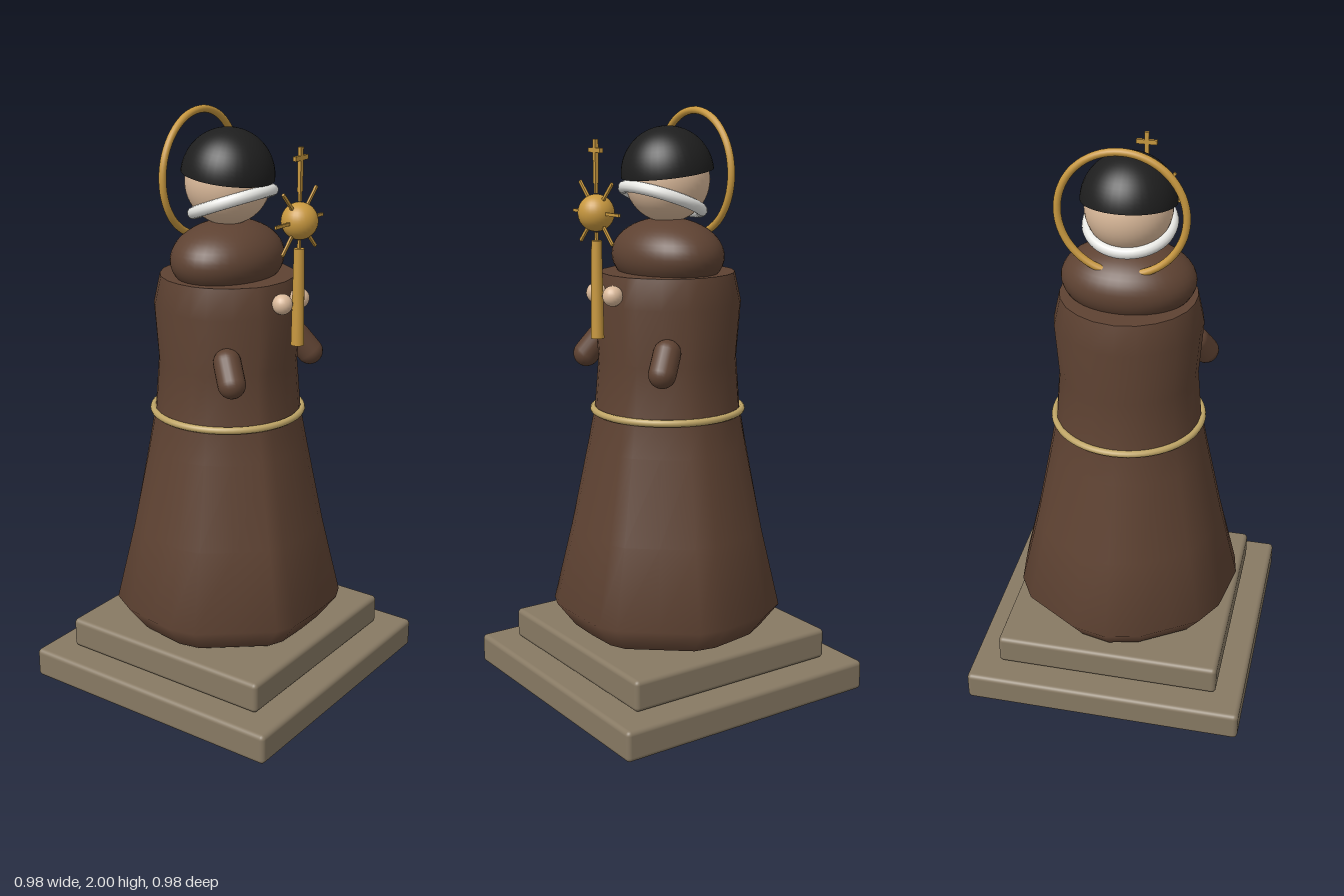
import * as THREE from 'three';
import { RoundedBoxGeometry } from 'three/addons/geometries/RoundedBoxGeometry.js';

const mat = (name, color) => Object.assign(new THREE.MeshStandardMaterial({ color }), { name });

// Robe: rings that are round at the waist and shoulders and folded at the hem
function robeGeometry() {
  // half outline of the hem: [degrees from the front, radius relative to 0.4]
  const half = [[0, 0.945], [20, 0.993], [30, 0.998], [50.5, 0.935], [71, 1], [84, 0.995], [98.5, 0.962],
    [113.5, 0.99], [130, 1], [146, 0.955], [162, 0.988], [180, 1.012]];
  const outline = [...half, ...half.slice(1, -1).reverse().map(([a, r]) => [360 - a, r])];
  // [height, radius, fold strength]
  const levels = [[0.225, 0.335, 1], [0.31, 0.4, 1], [0.58, 0.335, 0.8], [0.87, 0.275, 0.45],
    [1.0, 0.25, 0.25], [1.17, 0.236, 0.15], [1.36, 0.25, 0.1], [1.46, 0.228, 0.1]];
  const pos = [], idx = [], n = outline.length;
  const ring = ([y, r, f]) => {
    for (const [deg, k] of outline) {
      const a = THREE.MathUtils.degToRad(deg), q = r * (1 + (k - 1) * f);
      pos.push(q * Math.sin(a), y, q * Math.cos(a));
    }
  };
  levels.forEach(ring);
  for (let j = 0; j < levels.length - 1; j++) {
    for (let i = 0; i < n; i++) {
      const a = j * n + i, b = j * n + (i + 1) % n;
      idx.push(a, b, b + n, a, b + n, a + n);
    }
  }
  // flat caps with their own corners
  for (const [level, up] of [[levels[0], false], [levels.at(-1), true]]) {
    const s = pos.length / 3;
    ring(level);
    pos.push(0, level[0], 0);
    for (let i = 0; i < n; i++) {
      const a = s + i, b = s + (i + 1) % n;
      idx.push(...(up ? [a, b, s + n] : [b, a, s + n]));
    }
  }
  const g = new THREE.BufferGeometry();
  g.setAttribute('position', new THREE.Float32BufferAttribute(pos, 3));
  g.setIndex(idx);
  g.computeVertexNormals();
  return g;
}

export function createModel() {
  const model = new THREE.Group();
  model.name = 'robedStatue';
  const stone = mat('stone', 0x877963), brown = mat('brownCloth', 0x5e4232), rope = mat('rope', 0xbfa566),
    skin = mat('skin', 0xdab99a), black = mat('blackHair', 0x1e1e1e), white = mat('whiteBeard', 0xeeeeea),
    gold = mat('gold', 0xc8983f);
  black.side = THREE.DoubleSide;

  const add = (name, geometry, material, x = 0, y = 0, z = 0, parent = model) => {
    const m = new THREE.Mesh(geometry, material);
    m.name = name;
    m.position.set(x, y, z);
    parent.add(m);
    return m;
  };

  // Stepped plinth
  add('lowerStep', new RoundedBoxGeometry(0.98, 0.105, 0.98, 3, 0.016), stone, 0, 0.0525);
  add('upperStep', new RoundedBoxGeometry(0.79, 0.107, 0.79, 3, 0.016), stone, 0, 0.161);

  // Robe, belt and shoulder cape
  add('robe', robeGeometry(), brown);
  add('ropeBelt', new THREE.TorusGeometry(0.254, 0.012, 10, 64), rope, 0, 0.99).rotation.x = Math.PI / 2;
  add('cape', new THREE.SphereGeometry(1, 40, 24), brown, 0, 1.515).scale.set(0.223, 0.125, 0.172);

  // Head, cap of hair and tilted beard ring
  add('head', new THREE.SphereGeometry(0.142, 40, 28), skin, 0, 1.765);
  add('hair', new THREE.SphereGeometry(0.155, 40, 16, 0, Math.PI * 2, 0, Math.PI / 2), black, 0, 1.785)
    .rotation.x = 0.13;
  add('beard', new THREE.TorusGeometry(0.135, 0.02, 12, 48), white, 0, 1.7, 0.02)
    .rotation.x = Math.PI / 2 - 0.35;

  // Halo
  add('halo', new THREE.TorusGeometry(0.204, 0.0125, 12, 64), gold, 0, 1.785, -0.11);

  // Sleeves and hands
  for (const s of [1, -1]) {
    const side = s > 0 ? 'left' : 'right';
    const top = new THREE.Vector3(s * 0.203, 1.222, 0.143), end = new THREE.Vector3(s * 0.232, 1.162, 0.182);
    const sleeve = add(side + 'Sleeve', new THREE.CapsuleGeometry(0.046, top.distanceTo(end), 8, 20), brown);
    sleeve.position.copy(top).add(end).multiplyScalar(0.5);
    sleeve.quaternion.setFromUnitVectors(new THREE.Vector3(0, 1, 0), top.sub(end).normalize());
    add(side + 'Hand', new THREE.SphereGeometry(0.034, 20, 14), skin, s * 0.05, 1.4, 0.252);
  }

  // Golden staff with orb, rays and cross
  const staff = new THREE.Group();
  staff.name = 'staff';
  staff.position.z = 0.28;
  model.add(staff);
  add('handle', new THREE.CylinderGeometry(0.017, 0.022, 0.32, 20), gold, 0, 1.418, 0, staff);
  add('orb', new THREE.SphereGeometry(0.06, 28, 20), gold, 0, 1.667, 0, staff);
  for (let i = 0; i < 8; i++) {
    const a = i * Math.PI / 4;
    add('ray', new THREE.BoxGeometry(0.01, 0.075, 0.008), gold,
      -Math.sin(a) * 0.1, 1.667 + Math.cos(a) * 0.1, 0, staff).rotation.z = a;
  }
  add('crossUpright', new THREE.BoxGeometry(0.015, 0.14, 0.012), gold, 0, 1.83, 0, staff);
  add('crossBar', new THREE.BoxGeometry(0.07, 0.015, 0.012), gold, 0, 1.866, 0, staff);
  return model;
}
